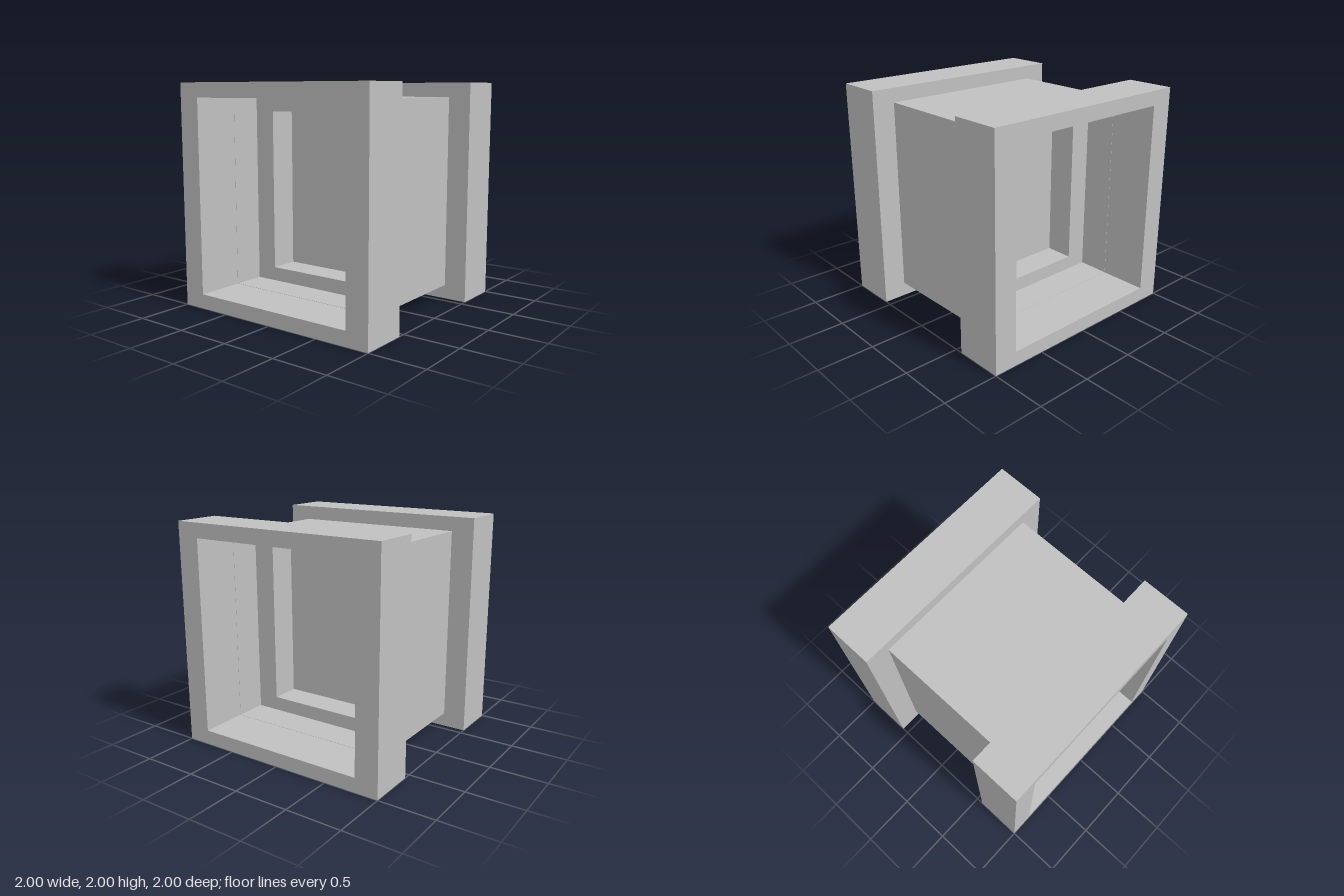
import * as THREE from 'three';

// Rectangular ring centred on y = 1, running from z0 to z1
function frame(name, halfW, halfH, holeW, holeH, z0, z1, material) {
  const shape = new THREE.Shape([
    new THREE.Vector2(-halfW, -halfH), new THREE.Vector2(halfW, -halfH),
    new THREE.Vector2(halfW, halfH), new THREE.Vector2(-halfW, halfH),
  ]);
  shape.holes.push(new THREE.Path([
    new THREE.Vector2(-holeW, -holeH), new THREE.Vector2(-holeW, holeH),
    new THREE.Vector2(holeW, holeH), new THREE.Vector2(holeW, -holeH),
  ]));
  const geometry = new THREE.ExtrudeGeometry(shape, { depth: z1 - z0, bevelEnabled: false });
  const mesh = new THREE.Mesh(geometry, material);
  mesh.position.set(0, 1, z0);
  mesh.name = name;
  return mesh;
}

export function createModel() {
  const model = new THREE.Group();
  model.name = 'flangedHousing';
  const grey = new THREE.MeshStandardMaterial({ color: 0xc0c0c0 });
  grey.name = 'grey';

  // Wide end flanges
  model.add(frame('frontFlange', 1, 1, 0.79, 0.87, 0.565, 1, grey));
  model.add(frame('backFlange', 1, 1, 0.79, 0.87, -1, -0.565, grey));

  // Thin body sleeve joining the flanges
  model.add(frame('bodySleeve', 0.792, 0.872, 0.788, 0.868, -0.565, 0.565, grey));

  // Inner collar stepping the opening inward on both sides
  model.add(frame('innerCollar', 0.79, 0.87, 0.585, 0.74, -0.27, 0.27, grey));

  // Thin dividing panel across the middle
  const panel = new THREE.Mesh(new THREE.BoxGeometry(1.18, 1.49, 0.006), grey);
  panel.position.y = 1;
  panel.name = 'dividerPanel';
  model.add(panel);

  return model;
}
